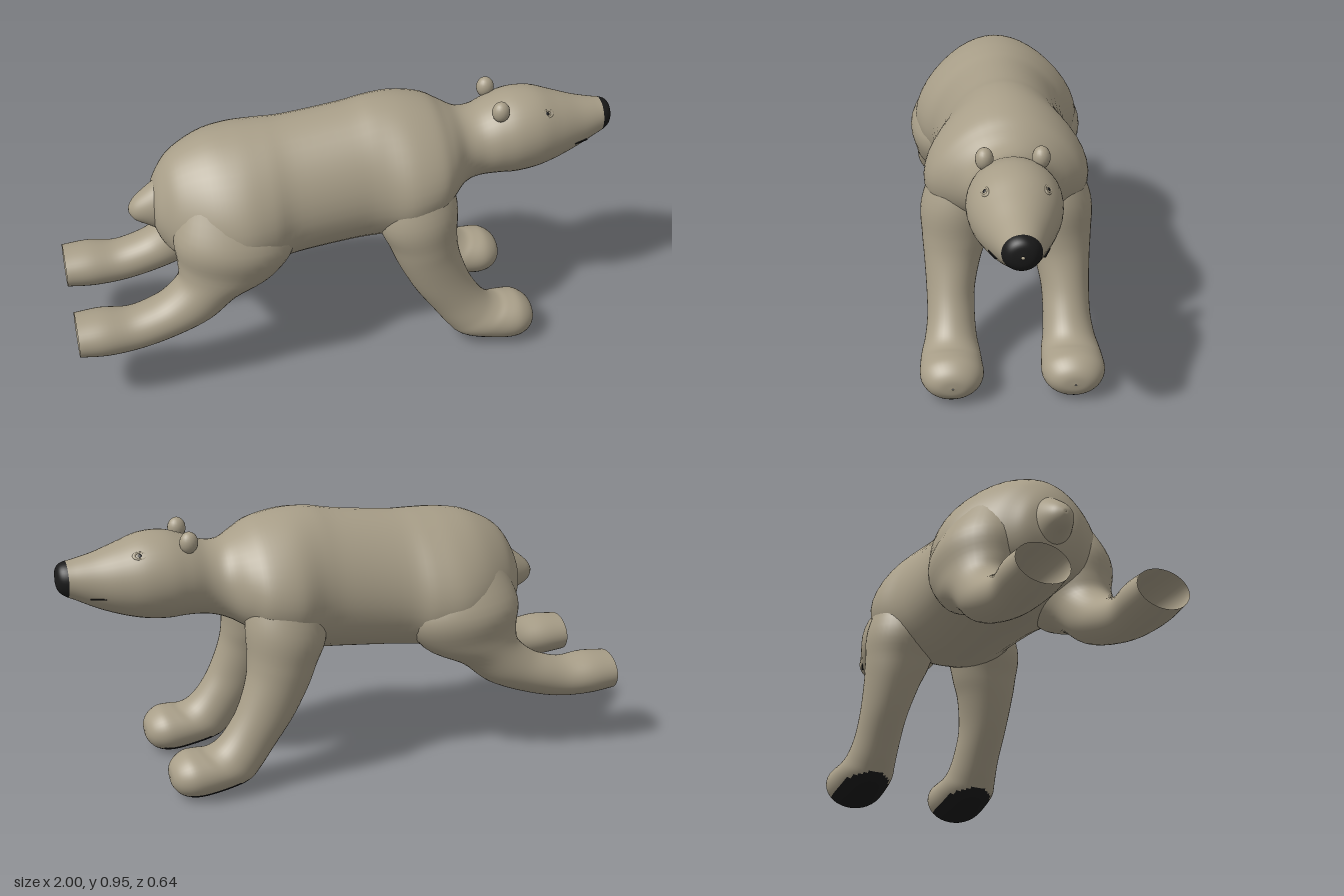
import * as THREE from 'three';

const fur = new THREE.MeshStandardMaterial({ color: 0xa89e88, side: THREE.DoubleSide });
fur.name = 'fur';
const black = new THREE.MeshStandardMaterial({ color: 0x1a1a1a });
black.name = 'black';

// Smooth skin through oval sections [ax, ay, bx, by, z, halfWidth, taper]:
// a and b are opposite ends of the oval in the xy plane, taper narrows the a side.
function loft(name, sections, isBlack = () => false, steps = 5, sides = 40) {
  const curve = (pick) => new THREE.CatmullRomCurve3(
    sections.map((s) => new THREE.Vector3(...pick(s))), false, 'catmullrom');
  const aLine = curve((s) => [s[0], s[1], 0]);
  const bLine = curve((s) => [s[2], s[3], 0]);
  const width = curve((s) => [s[4], s[5], s[6] || 0]);
  const rings = (sections.length - 1) * steps;
  const positions = [];
  for (let i = 0; i <= rings; i++) {
    const a = aLine.getPoint(i / rings), b = bLine.getPoint(i / rings), w = width.getPoint(i / rings);
    for (let j = 0; j < sides; j++) {
      const t = (j / sides) * Math.PI * 2, c = Math.cos(t);
      positions.push(
        (a.x + b.x) / 2 + (c * (a.x - b.x)) / 2,
        (a.y + b.y) / 2 + (c * (a.y - b.y)) / 2,
        w.x + Math.sin(t) * w.y * (1 - w.z * c));
    }
  }
  const furFaces = [], blackFaces = [];
  for (let i = 0; i < rings; i++) {
    for (let j = 0; j < sides; j++) {
      const k = (j + 1) % sides;
      const p = i * sides + j, q = i * sides + k, r = p + sides, s = q + sides;
      const x = (positions[p * 3] + positions[s * 3]) / 2;
      const y = (positions[p * 3 + 1] + positions[s * 3 + 1]) / 2;
      (isBlack(x, y) ? blackFaces : furFaces).push(p, q, r, q, s, r);
    }
  }
  const geometry = new THREE.BufferGeometry();
  geometry.setAttribute('position', new THREE.Float32BufferAttribute(positions, 3));
  geometry.setIndex([...furFaces, ...blackFaces]);
  geometry.addGroup(0, furFaces.length, 0);
  geometry.addGroup(furFaces.length, blackFaces.length, 1);
  geometry.computeVertexNormals();
  const mesh = new THREE.Mesh(geometry, [fur, black]);
  mesh.name = name;
  return mesh;
}

// Upright section: x, bottom, top, half width, taper
const upright = ([x, bottom, top, half, taper]) => [x, top, x, bottom, 0, half, taper];

function ball(name, material, position, scale) {
  const mesh = new THREE.Mesh(new THREE.SphereGeometry(1, 20, 14), material);
  mesh.name = name;
  mesh.position.set(...position);
  mesh.scale.set(...scale);
  return mesh;
}

export function createModel() {
  const bear = new THREE.Group();
  bear.name = 'bear';

  // Torso, neck and head in one skin, ending in the black nose
  bear.add(loft('bodyAndHead', [
    [-0.69, 0.61, 0.64, 0.015, 0],
    [-0.68, 0.55, 0.71, 0.09, 0.1],
    [-0.65, 0.49, 0.775, 0.14, 0.15],
    [-0.6, 0.455, 0.83, 0.2, 0.2],
    [-0.5, 0.43, 0.88, 0.265, 0.22],
    [-0.4, 0.412, 0.898, 0.295, 0.22],
    [-0.3, 0.41, 0.903, 0.28, 0.2],
    [-0.2, 0.415, 0.907, 0.245, 0.15],
    [0, 0.43, 0.93, 0.235, 0.12],
    [0.1, 0.44, 0.948, 0.245, 0.15],
    [0.2, 0.465, 0.947, 0.278, 0.2],
    [0.3, 0.51, 0.925, 0.265, 0.2],
    [0.36, 0.555, 0.892, 0.22, 0.15],
    [0.42, 0.585, 0.862, 0.155, 0.08],
    [0.48, 0.6, 0.862, 0.135, 0],
    [0.55, 0.605, 0.89, 0.148, 0],
    [0.62, 0.602, 0.91, 0.157, 0],
    [0.7, 0.61, 0.908, 0.15, 0],
    [0.78, 0.63, 0.882, 0.125, 0],
    [0.86, 0.66, 0.855, 0.095, 0],
    [0.93, 0.695, 0.838, 0.072, 0],
    [0.97, 0.715, 0.83, 0.058, 0],
    [0.99, 0.737, 0.813, 0.038, 0],
    [0.997, 0.77, 0.78, 0.005, 0],
  ].map(upright), (x) => x > 0.955));

  // Stubby tail (listed bottom first because it runs backwards)
  bear.add(loft('tail', [
    [-0.64, 0.52, -0.64, 0.75, 0, 0.08],
    [-0.7, 0.56, -0.7, 0.705, 0, 0.062],
    [-0.745, 0.585, -0.745, 0.668, 0, 0.04],
    [-0.765, 0.61, -0.765, 0.64, 0, 0.014],
    [-0.767, 0.624, -0.767, 0.626, 0, 0.001],
  ]));

  for (const side of [1, -1]) {
    const label = side > 0 ? 'left' : 'right';
    const mirrored = (rows) => rows.map((r) => [...r.slice(0, 4), side * r[4], r[5]]);

    // Front leg with forward-pointing paw and black sole
    bear.add(loft(label + 'FrontLeg', mirrored([
      [0.34, 0.74, 0.12, 0.74, 0.15, 0.09],
      [0.375, 0.6, 0.09, 0.55, 0.165, 0.13],
      [0.375, 0.48, 0.13, 0.44, 0.177, 0.118],
      [0.385, 0.4, 0.165, 0.36, 0.19, 0.1],
      [0.42, 0.3, 0.22, 0.26, 0.2, 0.085],
      [0.46, 0.23, 0.29, 0.16, 0.202, 0.083],
      [0.5, 0.185, 0.345, 0.085, 0.205, 0.09],
      [0.54, 0.166, 0.385, 0.045, 0.207, 0.1],
      [0.575, 0.167, 0.46, 0.02, 0.208, 0.106],
      [0.615, 0.164, 0.57, 0.003, 0.208, 0.108],
      [0.65, 0.142, 0.63, 0.014, 0.208, 0.086],
      [0.668, 0.115, 0.663, 0.045, 0.208, 0.05],
      [0.671, 0.083, 0.671, 0.079, 0.208, 0.003],
    ]), (x, y) => y < 0.065 - 0.13 * (x - 0.37)));

    // Hind leg stretched backwards, open at the cut end
    bear.add(loft(label + 'HindLeg', mirrored([
      [-0.28, 0.74, -0.58, 0.74, 0.13, 0.1],
      [-0.21, 0.56, -0.635, 0.6, 0.165, 0.152],
      [-0.28, 0.435, -0.63, 0.5, 0.175, 0.13],
      [-0.42, 0.365, -0.635, 0.44, 0.19, 0.105],
      [-0.52, 0.288, -0.69, 0.388, 0.2, 0.095],
      [-0.65, 0.235, -0.75, 0.36, 0.205, 0.09],
      [-0.78, 0.202, -0.82, 0.345, 0.208, 0.088],
      [-0.9, 0.198, -0.91, 0.352, 0.21, 0.1],
      [-1, 0.208, -1, 0.345, 0.21, 0.095],
    ])));

    // Small round ear
    bear.add(ball(label + 'Ear', fur, [0.55, 0.887, side * 0.092], [0.032, 0.038, 0.03]));

    // Eye with a raised lid around it
    const eye = new THREE.Group();
    eye.name = label + 'Eye';
    const lid = new THREE.Mesh(new THREE.TorusGeometry(0.016, 0.005, 10, 24), fur);
    lid.name = 'eyelid';
    lid.scale.set(1.3, 0.8, 1);
    eye.add(lid, ball('pupil', black, [0, 0, 0], [0.01, 0.009, 0.006]));
    eye.position.set(0.72, 0.858, side * 0.099);
    eye.lookAt(0.92, 1.538, side * 0.819);
    bear.add(eye);

    // Thin mouth slit
    const mouth = new THREE.Mesh(new THREE.BoxGeometry(0.055, 0.004, 0.008), black);
    mouth.name = label + 'Mouth';
    mouth.position.set(0.865, 0.715, side * 0.084);
    mouth.rotation.y = side * 0.36;
    bear.add(mouth);
  }
  return bear;
}
